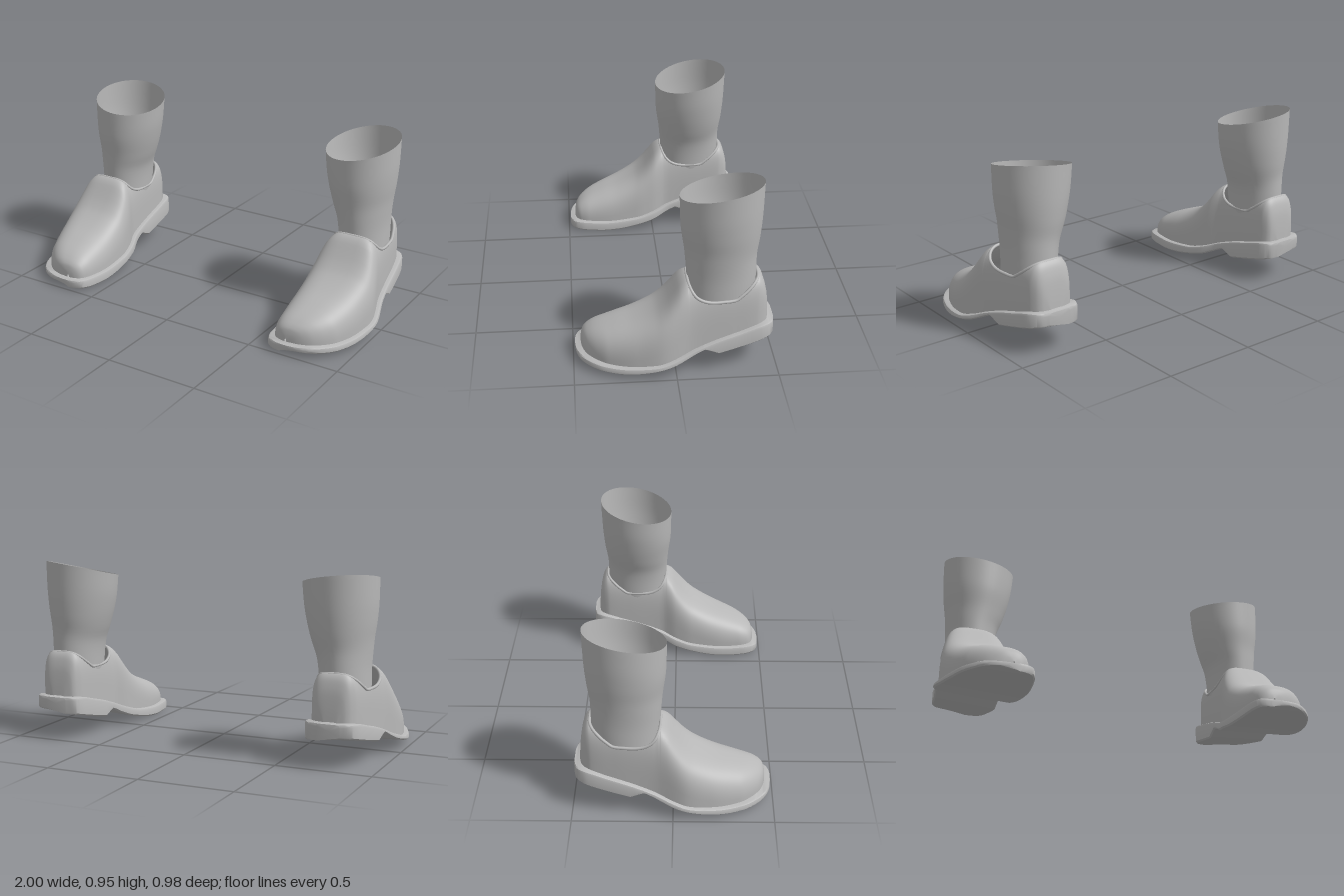
import * as THREE from 'three';
import { mergeVertices, toCreasedNormals } from 'three/addons/utils/BufferGeometryUtils.js';

// Smooth, overshoot-free curve through [key, value] points
function curve(pts) {
  const n = pts.length;
  const d = pts.slice(1).map((p, i) => (p[1] - pts[i][1]) / (p[0] - pts[i][0]));
  const m = pts.map((p, i) => {
    if (i === 0) return d[0];
    if (i === n - 1) return d[n - 2];
    return d[i - 1] * d[i] <= 0 ? 0 : (2 * d[i - 1] * d[i]) / (d[i - 1] + d[i]);
  });
  const dir = Math.sign(pts[1][0] - pts[0][0]);
  return (z) => {
    if ((z - pts[0][0]) * dir <= 0) return pts[0][1];
    if ((z - pts[n - 1][0]) * dir >= 0) return pts[n - 1][1];
    let i = 0;
    while ((z - pts[i + 1][0]) * dir > 0) i++;
    const h = pts[i + 1][0] - pts[i][0], t = (z - pts[i][0]) / h;
    return pts[i][1] * (1 + 2 * t) * (1 - t) ** 2 + h * m[i] * t * (1 - t) ** 2
      + pts[i + 1][1] * t * t * (3 - 2 * t) + h * m[i + 1] * t * t * (t - 1);
  };
}

// Sole outline and heights, all as functions of z
const outer = curve([[.49, .72], [.485, .77], [.47, .82], [.45, .855], [.4, .905], [.35, .937], [.2, .985], [.08, 1],
  [-.1, .96], [-.3, .935], [-.42, .915], [-.46, .895], [-.48, .87], [-.49, .83]]);
const inner = curve([[.49, .66], [.485, .63], [.47, .6], [.45, .585], [.4, .57], [.25, .558], [.1, .563], [0, .58],
  [-.1, .612], [-.3, .622], [-.42, .63], [-.46, .645], [-.48, .665], [-.49, .71]]);
const soleTop = curve([[.49, .055], [.46, .06], [.3, .056], [.1, .073], [0, .1], [-.1, .14], [-.2, .175], [-.3, .203],
  [-.46, .238], [-.49, .235]]);
const soleBottom = curve([[.49, .015], [.4, .006], [.3, .003], [.2, .01], [.1, .028], [0, .052], [-.05, .073],
  [-.13, .111], [-.14, .114], [-.15, .111], [-.2, .089], [-.21, .085], [-.22, .087], [-.35, .116], [-.49, .15]]);

// Upper: height of the closed arch, height of the cut opening, and boxiness of the arch
const archTop = curve([[.462, .075], [.459, .1], [.45, .13], [.42, .16], [.38, .183], [.3, .215], [.2, .252], [.1, .305],
  [.05, .35], [0, .412], [-.03, .45], [-.06, .468], [-.25, .485], [-.41, .475], [-.43, .455], [-.45, .39], [-.459, .3], [-.462, .24]]);
const rimCurve = curve([[-.06, .47], [-.1, .415], [-.15, .39], [-.2, .383], [-.28, .383], [-.33, .41], [-.38, .45], [-.41, .476]]);
const rim = (z) => (z > -.06 || z < -.41 ? 2 : rimCurve(z));
const boxiness = curve([[.46, 2.6], [.3, 2.8], [0, 3.8], [-.46, 4]]);

// Surface through rows of equal-length point lists
function loft(rows, closed = false) {
  const cols = rows[0].length, index = [];
  for (let i = 0; i < rows.length - 1; i++) {
    for (let j = 0; j < (closed ? cols : cols - 1); j++) {
      const k = (j + 1) % cols;
      const a = i * cols + j, b = i * cols + k, c = a + cols, d = b + cols;
      index.push(a, c, b, b, c, d);
    }
  }
  const geo = new THREE.BufferGeometry();
  geo.setAttribute('position', new THREE.Float32BufferAttribute(rows.flat(2), 3));
  geo.setIndex(index);
  return geo;
}

// Stations from toe to heel, denser at both ends, plus chosen extra ones
function stations(half, count, extra) {
  const list = [...extra];
  for (let i = 0; i <= count; i++) list.push(half * Math.cos((Math.PI * i) / count));
  return list.sort((a, b) => b - a);
}

// Point of the upper at station z; t runs 0 (welt) to 1 (ridge or rim), side is 1 outer or -1 inner
function upperPoint(z, t, side) {
  const zs = z * .49 / .462;
  const o = outer(zs) - .025, i = inner(zs) + .025;
  const base = soleTop(z) - .005, h = archTop(z) - base, e = 2 / boxiness(z);
  const cut = Math.min(1, (rim(z) - base) / h);
  const angle = t * Math.asin(Math.pow(cut, 1 / e));
  const x = Math.pow(Math.max(0, Math.cos(angle)), e);
  return [(o + i) / 2 + side * (o - i) / 2 * (t === 1 && cut === 1 ? 0 : x), base + h * Math.pow(Math.sin(angle), e), z];
}

function upperGeometry() {
  const N = 18, zs = stations(.462, 96, [-.055, -.06, -.065, -.07, -.405, -.41]);
  const rows = (side) => zs.map((z) => {
    const row = Array.from({ length: N + 1 }, (_, j) => upperPoint(z, j / N, side));
    return side > 0 ? row : row.reverse();
  });
  const a = loft(rows(1)), b = loft(rows(-1));
  // join both halves along the ridge
  const pos = [...a.attributes.position.array, ...b.attributes.position.array];
  const shift = a.attributes.position.count;
  const geo = new THREE.BufferGeometry();
  geo.setAttribute('position', new THREE.Float32BufferAttribute(pos, 3));
  geo.setIndex([...a.index.array, ...Array.from(b.index.array, (v) => v + shift)]);
  const merged = mergeVertices(geo, 1e-4);
  merged.computeVertexNormals();
  return merged;
}

// Rolled edge around the opening
function collarGeometry() {
  const K = 36, pts = [];
  for (let k = 0; k < K; k++) {
    const a = (2 * Math.PI * k) / K;
    const z = -.235 + .174 * Math.cos(a);
    const [x, y] = upperPoint(z, 1, Math.sin(a) >= 0 ? 1 : -1);
    pts.push(new THREE.Vector3(x, y - .005, z));
  }
  return new THREE.TubeGeometry(new THREE.CatmullRomCurve3(pts, true), 90, .008, 8, true);
}

// Sole with raised heel block and rounded upper edge
function soleGeometry() {
  const rows = stations(.49, 72, [-.13, -.14, -.15, -.2, -.21, -.22]).map((z) => {
    const o = outer(z), i = inner(z), t = soleTop(z), b = soleBottom(z);
    const r = Math.min(.014, (t - b) * .3);
    return [
      [o - .008, b + .02, z], [o, b + .027, z], [o, t - r, z], [o - r * .3, t - r * .3, z], [o - r, t, z],
      [i + r, t, z], [i + r * .3, t - r * .3, z], [i, t - r, z], [i, b + .008, z], [i + .008, b, z],
    ];
  });
  const cap = (row) => {
    const c = [0, 1, 2].map((k) => row.reduce((s, p) => s + p[k], 0) / row.length);
    return row.map(() => c);
  };
  const all = [cap(rows[0]), ...rows, cap(rows[rows.length - 1])];
  return toCreasedNormals(loft(all, true), .6);
}

// Open shaft flaring upward, with a slanted top edge
function shaftGeometry() {
  const xIn = curve([[.33, .65], [.45, .642], [.52, .632], [.6, .605], [.7, .578], [.8, .56], [.91, .55]]);
  const xOut = curve([[.33, .898], [.45, .898], [.6, .908], [.7, .922], [.8, .93], [.91, .932]]);
  const zFront = curve([[.33, -.07], [.5, -.06], [.6, -.052], [.75, -.034], [.91, -.03]]);
  const zBack = curve([[.33, -.39], [.45, -.403], [.55, -.405], [.65, -.42], [.75, -.43], [.91, -.437]]);
  const rows = [], S = 48, L = 24;
  for (let l = 0; l <= L; l++) {
    const y = .33 + (.58 * l) / L, slant = Math.pow(l / L, 2);
    rows.push(Array.from({ length: S }, (_, s) => {
      const c = Math.cos((2 * Math.PI * s) / S), d = Math.sin((2 * Math.PI * s) / S);
      return [
        (xIn(y) + xOut(y)) / 2 + c * (xOut(y) - xIn(y)) / 2,
        y + slant * (.025 * c - .037 * d),
        (zFront(y) + zBack(y)) / 2 + d * (zFront(y) - zBack(y)) / 2,
      ];
    }));
  }
  const geo = loft(rows, true);
  geo.computeVertexNormals();
  return geo;
}

export function createModel() {
  const grey = new THREE.MeshStandardMaterial({ color: 0xb8b8b8, side: THREE.DoubleSide });
  grey.name = 'plain grey';
  const parts = { upper: upperGeometry(), collar: collarGeometry(), sole: soleGeometry(), shaft: shaftGeometry() };
  const model = new THREE.Group();
  model.name = 'pairOfBoots';
  for (const side of [1, -1]) {
    const boot = new THREE.Group();
    boot.name = side > 0 ? 'leftBoot' : 'rightBoot';
    for (const [name, geo] of Object.entries(parts)) {
      const mesh = new THREE.Mesh(geo, grey);
      mesh.name = name;
      boot.add(mesh);
    }
    boot.scale.x = side;
    model.add(boot);
  }
  return model;
}
